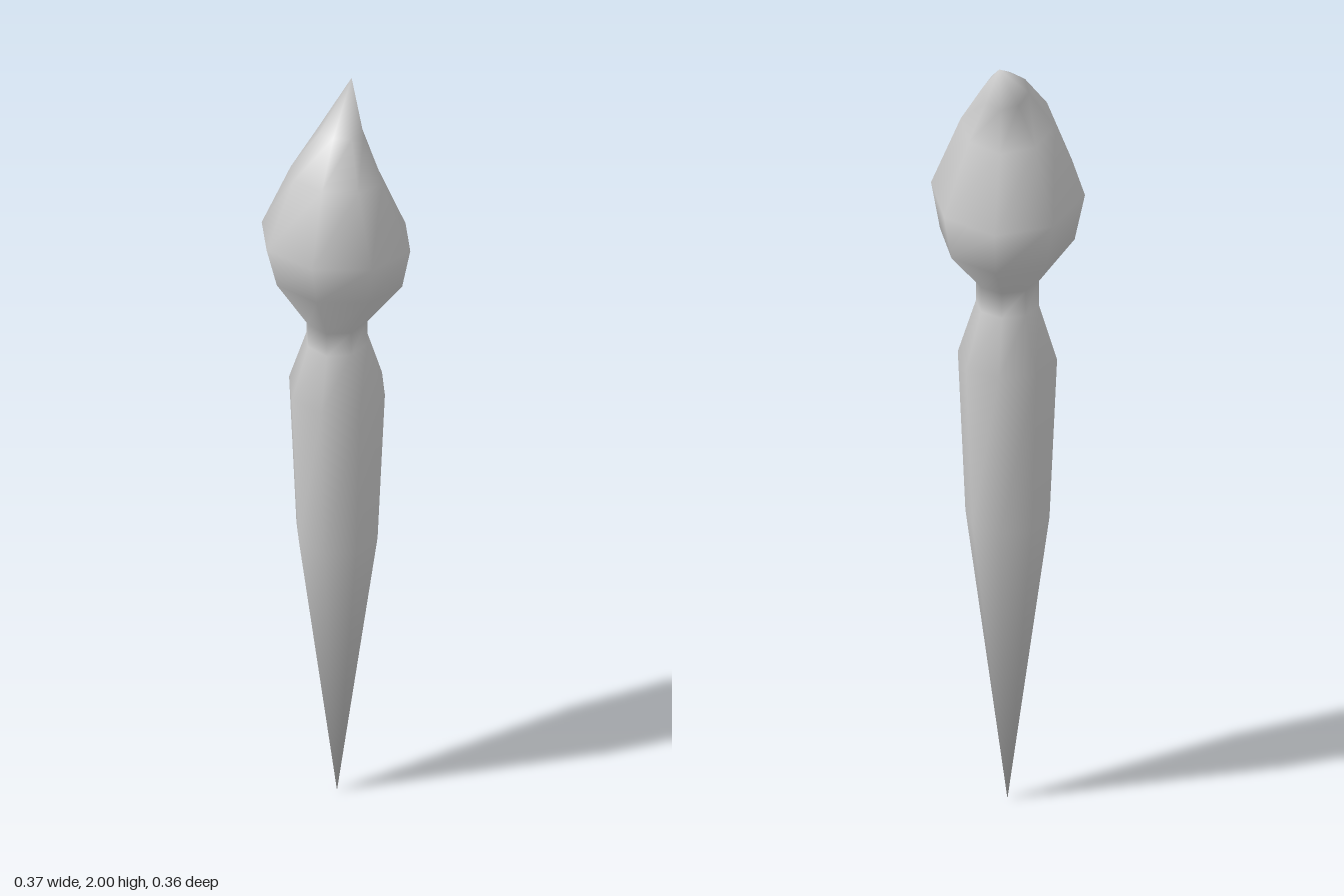
import * as THREE from 'three';

const SIDES = 8;
// Each ring: [y at front, y at back, half width, z at front, z at back]
const RINGS = [
  [0.76, 0.76, 0.1, 0.092, -0.108],
  [1.18, 1.18, 0.118, 0.11, -0.126],
  [1.32, 1.32, 0.075, 0.07, -0.085],
  [1.385, 1.385, 0.075, 0.07, -0.085],
  [1.53, 1.48, 0.16, 0.145, -0.165],
  [1.65, 1.59, 0.183, 0.18, -0.181],
  [1.825, 1.77, 0.112, 0.106, -0.11],
  [1.92, 1.88, 0.056, 0.02, -0.096],
];
const NECK = 3; // ring where the bristles meet the handle

// Eight-sided skin with one point at each end, smooth all along
function skin() {
  const pos = [0, 0, -0.008];
  for (const [yf, yb, r, zf, zb] of RINGS) {
    for (let i = 0; i < SIDES; i++) {
      const a = (i / SIDES) * Math.PI * 2, c = Math.cos(a);
      pos.push(r * Math.sin(a), (yf + yb) / 2 + ((yf - yb) / 2) * c, (zf + zb) / 2 + ((zf - zb) / 2) * c);
    }
  }
  pos.push(0, 2, -0.118);
  const last = pos.length / 3 - 1;
  const at = (ring, i) => 1 + ring * SIDES + (i % SIDES);
  const lower = [], upper = [];
  for (let i = 0; i < SIDES; i++) {
    lower.push(0, at(0, i + 1), at(0, i));
    for (let k = 0; k < RINGS.length - 1; k++) {
      const a = at(k, i), b = at(k, i + 1), c = at(k + 1, i + 1), d = at(k + 1, i);
      (k < NECK ? lower : upper).push(a, b, c, a, c, d);
    }
    upper.push(at(RINGS.length - 1, i), at(RINGS.length - 1, i + 1), last);
  }
  const geo = new THREE.BufferGeometry();
  geo.setAttribute('position', new THREE.Float32BufferAttribute(pos, 3));
  geo.setIndex([...lower, ...upper]);
  geo.computeVertexNormals();
  // Split after shading, so no seam shows at the neck
  return [lower, upper].map((index) => geo.clone().setIndex(index));
}

export function createModel() {
  const group = new THREE.Group();
  group.name = 'paintbrush';
  const material = new THREE.MeshStandardMaterial({ color: 0xcccccc });
  const names = ['handle', 'bristles'];
  skin().forEach((geo, i) => {
    const mesh = new THREE.Mesh(geo, material);
    mesh.name = names[i];
    group.add(mesh);
  });
  return group;
}
